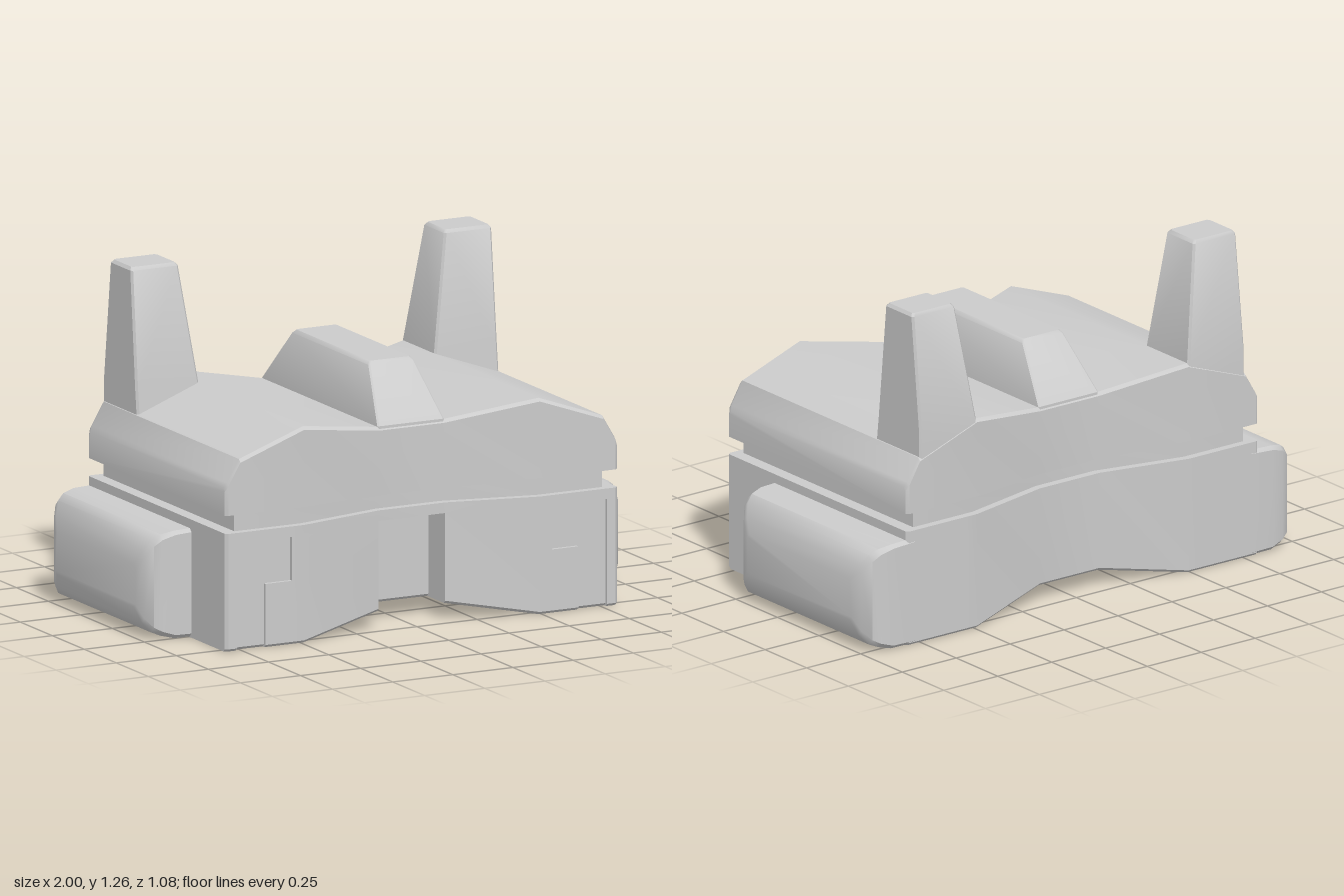
import * as THREE from 'three';
import { toCreasedNormals } from 'three/addons/utils/BufferGeometryUtils.js';

const V = (x, y, z) => new THREE.Vector3(x, y, z);
const lerp = THREE.MathUtils.lerp;

// 0 in the waist, 1 in the wide outer parts
const spread = (x) => THREE.MathUtils.clamp((Math.abs(x) - 0.135) / (0.49 - 0.135), 0, 1);
const halfDepth = (x) => lerp(0.46, 0.54, spread(x));

// Skin a list of equal-length rings, cap both ends, and face everything outward
function loft(rings, crease = 0.6) {
  const tris = [];
  const add = (a, b, c) => {
    const area = b.clone().sub(a).cross(c.clone().sub(a)).length();
    if (area > 1e-9) tris.push([a, b, c]);
  };
  for (let i = 0; i + 1 < rings.length; i++) {
    const p = rings[i], q = rings[i + 1], n = p.length;
    for (let j = 0; j < n; j++) {
      const k = (j + 1) % n;
      add(p[j], p[k], q[k]);
      add(p[j], q[k], q[j]);
    }
  }
  const first = rings[0], last = rings[rings.length - 1];
  for (let j = 1; j + 1 < first.length; j++) {
    add(first[0], first[j + 1], first[j]);
    add(last[0], last[j], last[j + 1]);
  }
  let volume = 0;
  for (const [a, b, c] of tris) volume += a.dot(b.clone().cross(c));
  const points = tris.flatMap(([a, b, c]) => (volume < 0 ? [a, c, b] : [a, b, c]));
  return toCreasedNormals(new THREE.BufferGeometry().setFromPoints(points), crease);
}

// Rectangle with cut corners, placed in space by map(u, v)
function rectRing(u0, u1, v0, v1, c, map) {
  return [
    [u0 + c, v0], [u1 - c, v0], [u1, v0 + c], [u1, v1 - c],
    [u1 - c, v1], [u0 + c, v1], [u0, v1 - c], [u0, v0 + c],
  ].map(([u, v]) => map(u, v));
}

// Mirror stations given from the outer end inwards
const bothSides = (half) => [...half, ...half.slice().reverse().map(([x, ...rest]) => [-x, ...rest])];

// Lower body: x, recess of the lower and upper front band, end inset
function lowerBody() {
  const r = 0.015, notch = 0.13, c = 0.01, top = 0.445;
  const stations = bothSides([
    [0.815, 0, 0, 0.01], [0.805, 0, 0, 0], [0.77, 0, 0, 0], [0.77, r, r, 0],
    [0.65, r, r, 0], [0.65, 0, r, 0], [0.54, 0, r, 0], [0.54, 0, 0, 0],
    [0.49, 0, 0, 0], [0.138, 0, 0, 0], [0.138, notch, notch, 0],
  ]);
  return loft(stations.map(([x, low, high, inset]) => {
    const z = halfDepth(x) - inset;
    const y = lerp(0.065, 0, spread(x));
    return [
      [y + c, -z], [y, -z + c], [y, z - low - c], [y + c, z - low],
      [0.24, z - low], [0.24, z - high], [0.405, z - high], [0.405, z],
      [top, z], [top, -z],
    ].map(([py, pz]) => V(x, py, pz));
  }));
}

// Recessed neck between body and cover
function neck() {
  return loft([0.765, 0.49, 0.135, -0.135, -0.49, -0.765].map((x) => {
    const z = halfDepth(x) - 0.03;
    return [V(x, 0.43, -z), V(x, 0.43, z), V(x, 0.53, z), V(x, 0.53, -z)];
  }));
}

// Upper cover: x, height, end inset
function cover() {
  const stations = bothSides([
    [0.815, 0.615, 0.01], [0.805, 0.635, 0], [0.755, 0.72, 0], [0.49, 0.815, 0], [0.135, 0.757, 0],
  ]);
  const c = 0.012;
  return loft(stations.map(([x, top, inset]) => {
    const z = halfDepth(x) - inset;
    const y = lerp(0.5, 0.513, spread(x));
    return [
      [y, -z], [y, z], [top - c, z], [top, z - c], [top, -z + c], [top - c, -z],
    ].map(([py, pz]) => V(x, py, pz));
  }));
}

// Tapered ridge along the middle of the cover
function ridge() {
  const rows = [[0.7, 0.138, 0.455], [0.76, 0.138, 0.455], [0.955, 0.094, 0.303], [0.968, 0.083, 0.29]];
  return loft(rows.map(([y, w, d]) => rectRing(-w, w, -d, d, 0.006, (x, z) => V(x, y, z))));
}

// Tapered upright on a rear corner: y, inner x, outer x, back z, front z
function horn(side) {
  const rows = [
    [0.66, 0.49, 0.752, -0.538, -0.262], [0.815, 0.49, 0.752, -0.538, -0.28],
    [1.253, 0.553, 0.75, -0.489, -0.322], [1.265, 0.563, 0.741, -0.48, -0.332],
  ];
  return loft(rows.map(([y, x0, x1, z0, z1]) =>
    rectRing(x0, x1, z0, z1, 0.008, (x, z) => V(side * x, y, z))));
}

// Side pod with softened outer edges: x, bottom, top, back z, front z, corner
function sidePod(side) {
  const rows = [
    [0.78, 0.003, 0.412, -0.541, 0.27, 0.012], [0.88, 0.003, 0.408, -0.541, 0.27, 0.014],
    [0.93, 0.015, 0.397, -0.533, 0.263, 0.018], [0.96, 0.027, 0.376, -0.52, 0.25, 0.022],
    [0.985, 0.06, 0.33, -0.486, 0.222, 0.02], [1.0, 0.115, 0.275, -0.445, 0.18, 0.012],
  ];
  return loft(rows.map(([x, y0, y1, z0, z1, c]) =>
    rectRing(y0, y1, z0, z1, c, (y, z) => V(side * x, y, z))), 0.7);
}

export function createModel() {
  const model = new THREE.Group();
  model.name = 'model';
  const grey = new THREE.MeshStandardMaterial({ color: 0xcccccc });
  const add = (name, geometry) => {
    const mesh = new THREE.Mesh(geometry, grey);
    mesh.name = name;
    model.add(mesh);
  };
  add('lowerBody', lowerBody());
  add('neck', neck());
  add('upperCover', cover());
  add('centreRidge', ridge());
  for (const [name, side] of [['left', 1], ['right', -1]]) {
    add(name + 'Horn', horn(side));
    add(name + 'SidePod', sidePod(side));
  }
  return model;
}
